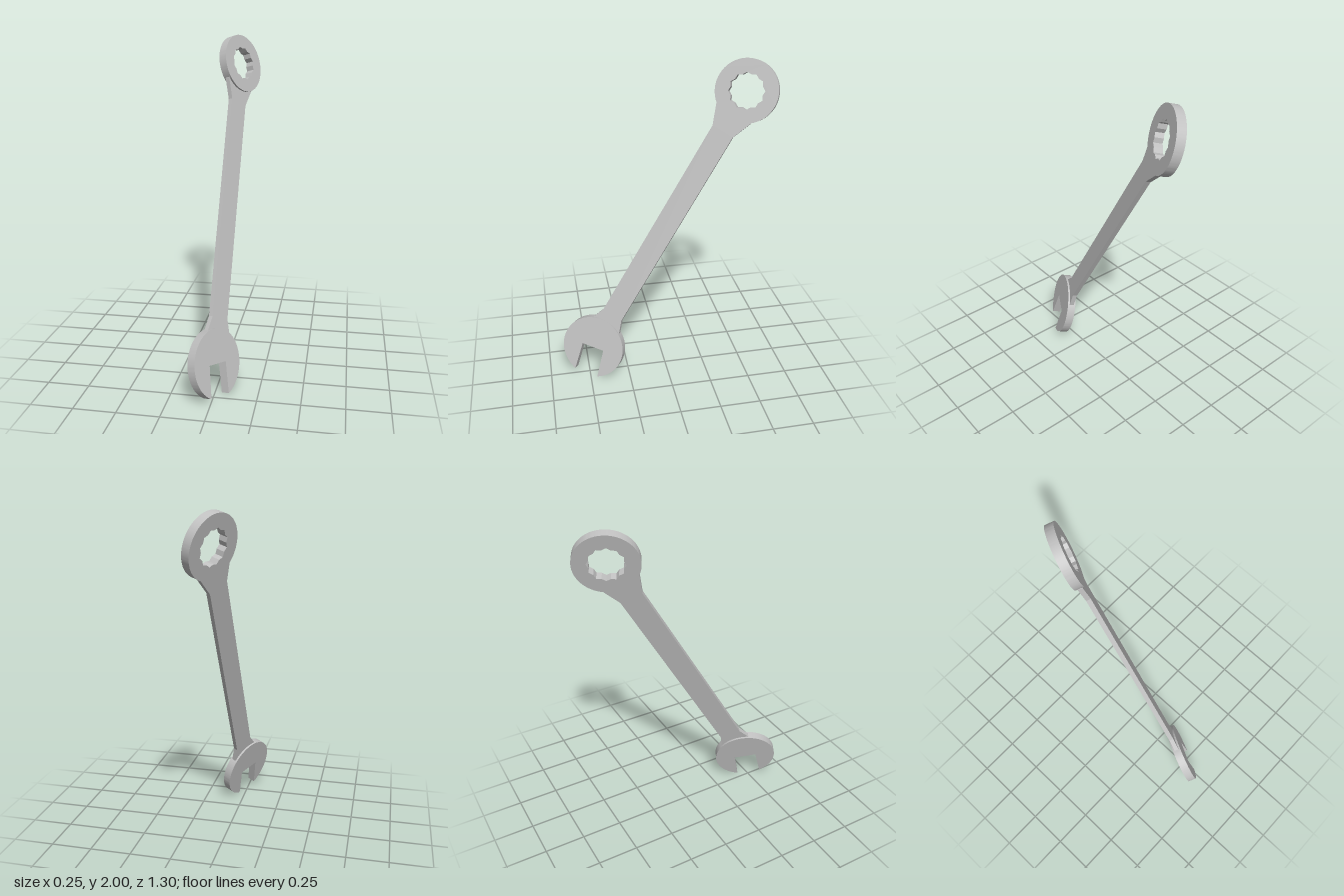
import * as THREE from 'three';
import { toCreasedNormals } from 'three/addons/utils/BufferGeometryUtils.js';

const steel = new THREE.MeshStandardMaterial({ color: 0xc0c0c0 });
steel.name = 'steel';

const HEAD_THICKNESS = 0.052;
const SHANK_THICKNESS = 0.028;

// Flat plate centred on its own thickness, smooth on round rims, sharp on corners
function plate(name, shape, thickness, y) {
  const geometry = new THREE.ExtrudeGeometry(shape, {
    depth: thickness, bevelEnabled: false, curveSegments: 72,
  });
  geometry.translate(0, 0, -thickness / 2);
  const mesh = new THREE.Mesh(toCreasedNormals(geometry, 0.3), steel);
  mesh.name = name;
  mesh.position.y = y;
  return mesh;
}

// Closed ring with a twelve-point socket
function ringShape(radius, tipRadius) {
  const shape = new THREE.Shape();
  shape.absarc(0, 0, radius, 0, Math.PI * 2, false);
  const valleyRadius = tipRadius * Math.cos(Math.PI / 6) / Math.cos(Math.PI / 12);
  const points = [];
  for (let i = 0; i < 24; i++) {
    const r = i % 2 ? valleyRadius : tipRadius;
    const angle = -i * Math.PI / 12;
    points.push(new THREE.Vector2(r * Math.cos(angle), r * Math.sin(angle)));
  }
  shape.holes.push(new THREE.Path(points));
  return shape;
}

// Round head with a slot from its centre down to the rim
function jawShape(radius, innerHalf, outerHalf) {
  const spread = Math.asin(outerHalf / radius);
  const shape = new THREE.Shape();
  shape.absarc(0, 0, radius, -Math.PI / 2 + spread, Math.PI * 1.5 - spread, false);
  shape.lineTo(-innerHalf, 0);
  shape.lineTo(innerHalf, 0);
  shape.closePath();
  return shape;
}

// Straight bar that flares into both heads, mirrored from [halfWidth, y] pairs
function shankShape() {
  const side = [[0.102, 0.02], [0.098, 0.116], [0.068, 0.2], [0.068, 1.547], [0.115, 1.668], [0.116, 1.69]];
  const right = side.map(([x, y]) => new THREE.Vector2(x, y));
  const left = side.map(([x, y]) => new THREE.Vector2(-x, y)).reverse();
  return new THREE.Shape([...right, ...left]);
}

export function createModel() {
  const wrench = new THREE.Group();
  wrench.name = 'wrench';

  wrench.add(plate('shank', shankShape(), SHANK_THICKNESS, 0));
  wrench.add(plate('ringHead', ringShape(0.181, 0.105), HEAD_THICKNESS, 1.812));
  const jaw = plate('openJaw', jawShape(0.2, 0.072, 0.078), HEAD_THICKNESS, -0.059);
  jaw.rotation.z = Math.PI / 12;
  wrench.add(jaw);

  // Lean the length back by 30 degrees and roll the flat face towards the left
  const along = new THREE.Vector3(0, Math.cos(Math.PI / 6), -0.5);
  const face = new THREE.Vector3(0.866, 0.25, 0.433).normalize();
  const across = new THREE.Vector3().crossVectors(along, face);
  wrench.quaternion.setFromRotationMatrix(new THREE.Matrix4().makeBasis(across, along, face));
  wrench.position.set(0, 0.2505, 0.434);

  const model = new THREE.Group();
  model.name = 'combinationWrench';
  model.add(wrench);
  return model;
}
